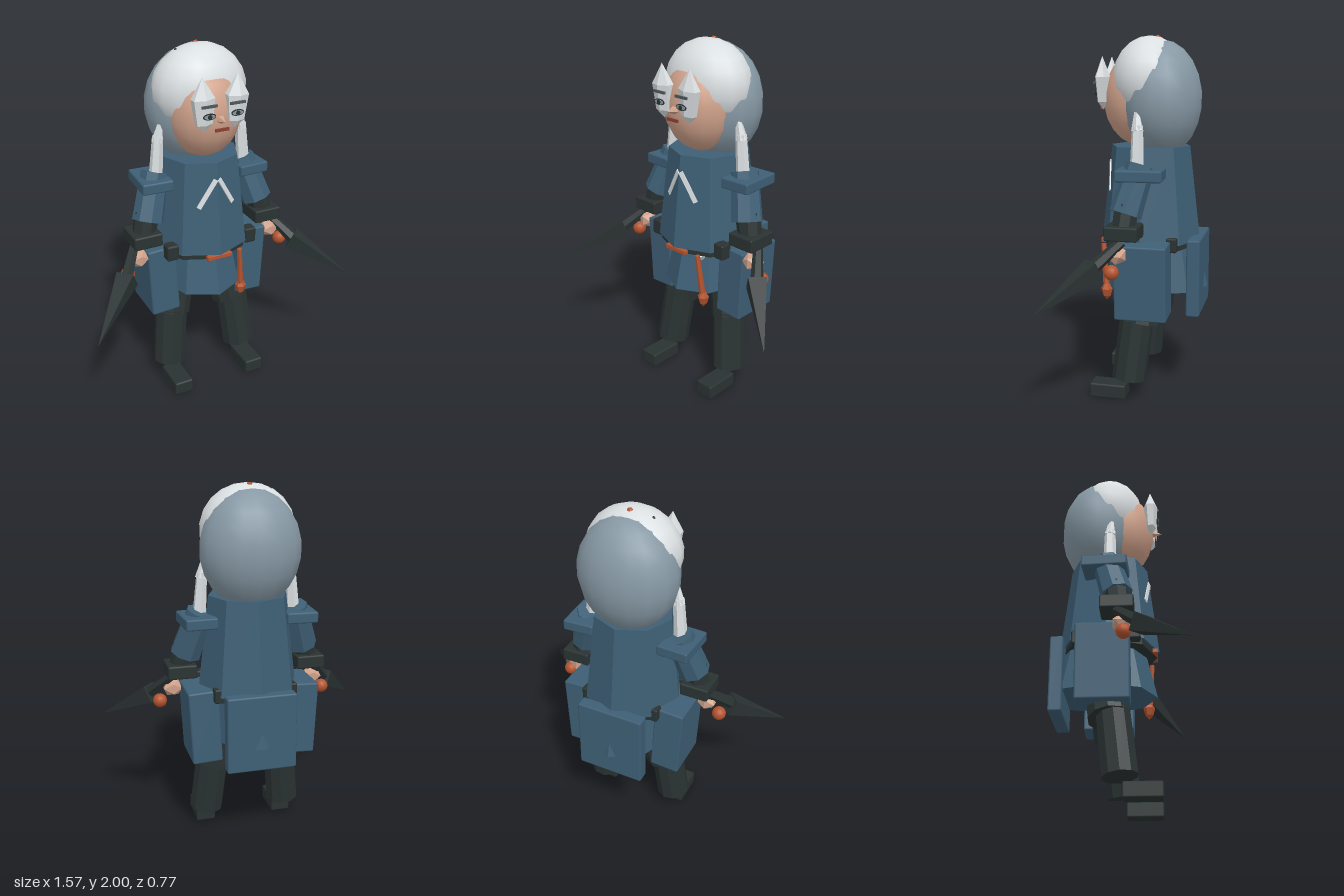
import * as THREE from 'three';
import { RoundedBoxGeometry } from 'three/addons/geometries/RoundedBoxGeometry.js';

const mat = (name, color) => {
  const m = new THREE.MeshStandardMaterial({ color });
  m.name = name;
  return m;
};

export function createModel() {
  const root = new THREE.Group();
  root.name = 'armouredFigure';

  const blue = mat('blueCloth', 0x3e5f75);
  const dark = mat('darkLeather', 0x2a3332);
  const white = mat('whiteHair', 0xdadfe1);
  const grey = mat('greyHair', 0x8799a5);
  const skin = mat('skin', 0xd0a28b);
  const orange = mat('copper', 0xb4542f);
  const brow = mat('browGrey', 0x4f585c);
  const lip = mat('lipBrown', 0x8a4030);

  const add = (name, geo, material, pos = [0, 0, 0]) => {
    const m = new THREE.Mesh(geo, material);
    m.name = name;
    m.position.set(...pos);
    root.add(m);
    return m;
  };
  // Facet a geometry by giving every triangle its own normal
  const flat = (geo) => {
    const g = geo.index ? geo.toNonIndexed() : geo;
    g.computeVertexNormals();
    return g;
  };
  const box = (name, material, pos, size, bevel = 0.01) =>
    add(name, bevel ? new RoundedBoxGeometry(...size, 1, bevel) : new THREE.BoxGeometry(...size), material, pos);
  const ellipsoid = (name, material, pos, radii) =>
    add(name, new THREE.SphereGeometry(1, 16, 11).scale(...radii), material, pos);
  // Tapered faceted rod from a (radius ra) to b (radius rb)
  const rod = (name, material, a, b, ra, rb, sides = 8) => {
    const A = new THREE.Vector3(...a), B = new THREE.Vector3(...b);
    const d = B.clone().sub(A);
    const m = add(name, flat(new THREE.CylinderGeometry(rb, ra, d.length(), sides)), material);
    m.position.copy(A).addScaledVector(d, 0.5);
    m.quaternion.setFromUnitVectors(new THREE.Vector3(0, 1, 0), d.normalize());
    return m;
  };
  // Upright eight-sided garment with a ridge at front and back
  const garment = (name, material, y0, y1, r0, r1, z, sx = 1) =>
    add(name, flat(new THREE.CylinderGeometry(r1, r0, y1 - y0, 8).scale(sx, 1, 1)), material, [0, (y0 + y1) / 2, z]);

  // Head and hair
  ellipsoid('face', skin, [0, 1.66, 0], [0.212, 0.26, 0.21]);
  ellipsoid('hairCap', white, [0, 1.76, -0.05], [0.265, 0.24, 0.205]);
  ellipsoid('hairBack', grey, [0, 1.66, -0.112], [0.279, 0.318, 0.226]);
  add('hairStud', flat(new THREE.IcosahedronGeometry(0.02, 0)), orange, [0, 1.985, -0.09]);
  add('hairSpeck', flat(new THREE.IcosahedronGeometry(0.009, 0)), dark, [-0.12, 1.968, -0.075]);
  const nose = add('nose', flat(new THREE.ConeGeometry(0.027, 0.06, 5)), skin, [0, 1.66, 0.228]);
  nose.rotation.x = Math.PI / 2;
  box('mouth', lip, [0, 1.61, 0.222], [0.08, 0.016, 0.009], 0);

  // Body: tunic, skirt, belt
  garment('tunic', blue, 0.88, 1.405, 0.283, 0.222, -0.054);
  garment('skirt', blue, 0.61, 0.88, 0.3, 0.235, -0.085, 0.8);
  garment('belt', dark, 0.848, 0.89, 0.27, 0.27, -0.054);
  box('buckle', orange, [0, 0.862, 0.205], [0.15, 0.026, 0.03], 0.004);

  // Hanging cord with a pointed weight, and a pale tag beside it
  rod('cord', orange, [0.14, 0.86, 0.185], [0.163, 0.61, 0.165], 0.014, 0.018, 6);
  add('cordWeight', flat(new THREE.LatheGeometry([
    [0, -0.045], [0.022, -0.02], [0.033, 0.02], [0.016, 0.05], [0, 0.05]]
    .map(([x, y]) => new THREE.Vector2(x, y)), 6)), orange, [0.165, 0.585, 0.163]);
  add('hipTag', flat(new THREE.OctahedronGeometry(0.034)), white, [0.108, 0.828, 0.115]);

  // Back plate
  box('backPlate', blue, [0, 0.695, -0.328], [0.39, 0.43, 0.074]);

  // Lens profile for the faceted eye shields
  const lens = [[0, -0.145], [0.05, -0.1], [0.068, 0.035], [0, 0.145]]
    .map(([x, y]) => new THREE.Vector2(x, y));

  for (const s of [-1, 1]) {
    const at = (x, y, z) => [s * x, y, z];

    // Eye shield, eye, brow
    const shield = add('eyeShield', flat(new THREE.LatheGeometry(lens, 6).scale(1, 1, 0.63)), white, at(0.095, 1.745, 0.195));
    shield.rotation.z = -s * 0.04;
    [['eyeRim', dark, 0.037, 0.017, 0.237], ['eyeWhite', grey, 0.031, 0.012, 0.24], ['pupil', dark, 0.012, 0.012, 0.243]]
      .forEach(([name, m, rx, ry, z]) =>
        add(name, new THREE.CylinderGeometry(1, 1, 0.004, 14).rotateX(Math.PI / 2).scale(rx, ry, 1), m, at(0.08, 1.695, z)));
    box('eyebrow', brow, at(0.08, 1.748, 0.238), [0.085, 0.014, 0.009], 0);

    // Side lock
    rod('sideLockUpper', white, at(0.235, 1.6, -0.03), at(0.254, 1.5, -0.035), 0.016, 0.034, 6);
    rod('sideLockLower', white, at(0.25, 1.53, -0.035), at(0.268, 1.3, -0.035), 0.03, 0.038, 6);

    // Chest stripe, lying on the sloped tunic front
    const stripe = box('chestStripe', white, at(0.056, 1.235, 0.167), [0.026, 0.185, 0.009], 0);
    stripe.rotation.set(-0.107, s * 0.3927, s * 0.53, 'YXZ');

    // Arm
    const pad = box('shoulderPad', blue, at(0.287, 1.275, -0.058), [0.178, 0.062, 0.25]);
    pad.rotation.y = s * 0.05;
    rod('upperArm', blue, at(0.265, 1.32, -0.055), at(0.342, 1.07, 0.01), 0.078, 0.088);
    rod('forearm', dark, at(0.34, 1.12, 0), at(0.38, 0.95, 0.02), 0.07, 0.064);
    box('cuff', dark, at(0.373, 0.983, 0.012), [0.165, 0.076, 0.18]);
    const hand = add('hand', flat(new THREE.IcosahedronGeometry(0.062, 0)), skin, at(0.415, 0.867, 0.038));
    hand.scale.set(1, 0.85, 0.9);

    // Dagger: grip, pommel ball, pyramid blade
    rod('grip', dark, at(0.425, 0.94, 0.01), at(0.53, 0.815, 0.14), 0.026, 0.036, 6);
    add('pommel', new THREE.SphereGeometry(0.04, 14, 10), orange, at(0.487, 0.79, 0.05));
    rod('blade', dark, at(0.52, 0.815, 0.13), at(0.785, 0.62, 0.38), 0.07, 0.001, 4);

    // Hip plate, front pouch and rear pouch
    const plate = box('hipPlate', blue, at(0.278, 0.698, -0.068), [0.17, 0.415, 0.285]);
    plate.rotation.z = -s * 0.05;
    box('frontPouch', dark, at(0.243, 0.895, 0.095), [0.07, 0.09, 0.07]);
    box('rearPouch', dark, at(0.205, 0.885, -0.215), [0.06, 0.08, 0.06]);

    // Leg and boot
    rod('thigh', dark, at(0.12, 0.72, -0.08), at(0.2, 0.43, -0.038), 0.102, 0.116, 10);
    rod('shin', dark, at(0.2, 0.46, -0.02), at(0.236, 0.115, 0.018), 0.094, 0.096, 10);
    box('boot', dark, at(0.235, 0.041, 0.132), [0.113, 0.082, 0.205]);
  }

  return root;
}
